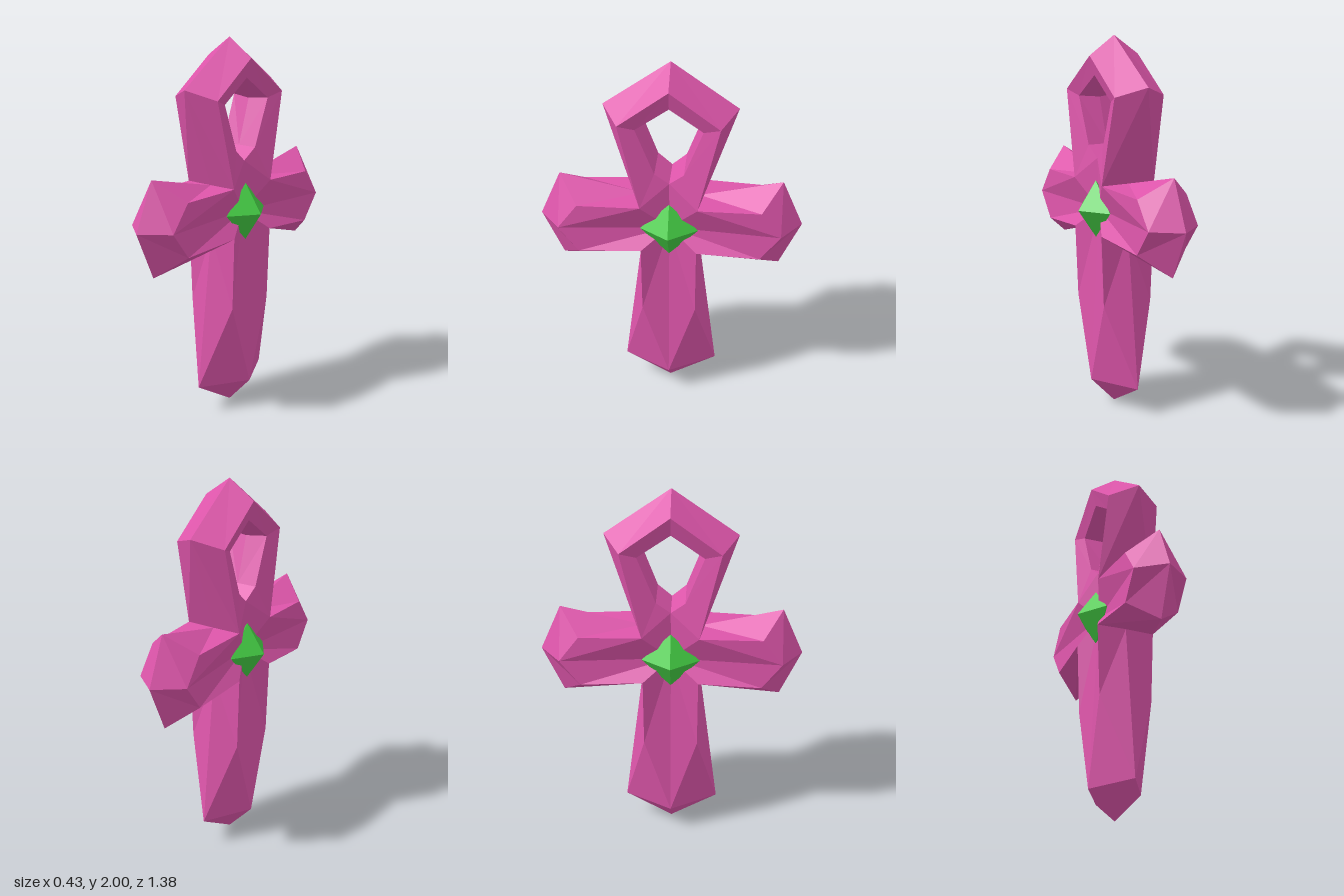
import * as THREE from 'three';

// Corners of one quarter (x >= 0, z >= 0) as [x, y, z]; the rest is mirrored.
const P = {
  // outer outline on the middle plane
  O0: [0, 2, 0], O1: [0, 1.76, 0.34], R1: [0, 1.25, 0.15],
  A1: [0, 1.35, 0.58], A2: [0, 1.1, 0.69], A3: [0, 0.85, 0.58],
  R2: [0, 0.985, 0.15], S1: [0, 0.15, 0.255], S2: [0, 0, 0],
  // bevelled outline on the broad side
  i0: [0.143, 1.9, 0], i1: [0.143, 1.71, 0.255], r1: [0.157, 1.25, 0.148],
  a1: [0.143, 1.24, 0.475], a2: [0.143, 1.1, 0.58], a3: [0.143, 0.96, 0.475],
  r2: [0.157, 0.985, 0.145], s1: [0.143, 0.6, 0.143], s2: [0.143, 0.15, 0],
  // sunken centre under the gem
  c: [0.09, 1.1, 0],
  // hole rim and hole waist
  h0: [0.115, 1.8, 0], h1: [0.115, 1.68, 0.17], h2: [0.11, 1.43, 0.075], h3: [0.1, 1.37, 0],
  w0: [0, 1.775, 0], w1: [0, 1.67, 0.153], w2: [0, 1.43, 0.075], w3: [0, 1.37, 0],
};

// Faces of each part, counter-clockwise from outside.
const PARTS = {
  loop: ['O0 O1 i1 i0', 'O1 R1 r1 i1', 'i0 i1 h1 h0', 'i1 r1 h2 h1', 'r1 c h3 h2',
    'h0 h1 w1 w0', 'h1 h2 w2 w1', 'h2 h3 w3 w2'],
  crossArms: ['R1 A1 a1 r1', 'A1 A2 a2 a1', 'A2 A3 a3 a2', 'A3 R2 r2 a3',
    'r1 a1 a2 c', 'c a2 a3 r2'],
  stem: ['R2 S1 s1 r2', 'S1 S2 s2 s1', 'c r2 s1 s2'],
};

// Mirror a quarter's faces across x and z, flipping the winding when needed.
function mirroredGeometry(faces) {
  const pos = [];
  for (const sx of [1, -1]) for (const sz of [1, -1]) {
    for (const face of faces) {
      const pts = face.split(' ').map((k) => [P[k][0] * sx, P[k][1], P[k][2] * sz]);
      if (sx * sz < 0) pts.reverse();
      // keep the same diagonal after reversing
      if (sx * sz < 0) pts.unshift(pts.pop());
      for (let i = 1; i < pts.length - 1; i++) pos.push(...pts[0], ...pts[i], ...pts[i + 1]);
    }
  }
  const geo = new THREE.BufferGeometry();
  geo.setAttribute('position', new THREE.Float32BufferAttribute(pos, 3));
  geo.computeVertexNormals();
  return geo;
}

export function createModel() {
  const group = new THREE.Group();
  group.name = 'loopedCross';
  const pink = new THREE.MeshStandardMaterial({ color: 0xdd55aa, flatShading: true });
  const green = new THREE.MeshStandardMaterial({ color: 0x44cc44, flatShading: true });

  for (const [name, faces] of Object.entries(PARTS)) {
    const mesh = new THREE.Mesh(mirroredGeometry(faces), pink);
    mesh.name = name;
    group.add(mesh);
  }

  // One gem on each broad side
  for (const side of [1, -1]) {
    const gem = new THREE.Mesh(new THREE.OctahedronGeometry(1), green);
    gem.name = side > 0 ? 'leftGem' : 'rightGem';
    gem.scale.set(0.104, 0.152, 0.152);
    gem.position.set(side * 0.11, 1.1, 0);
    group.add(gem);
  }
  return group;
}
